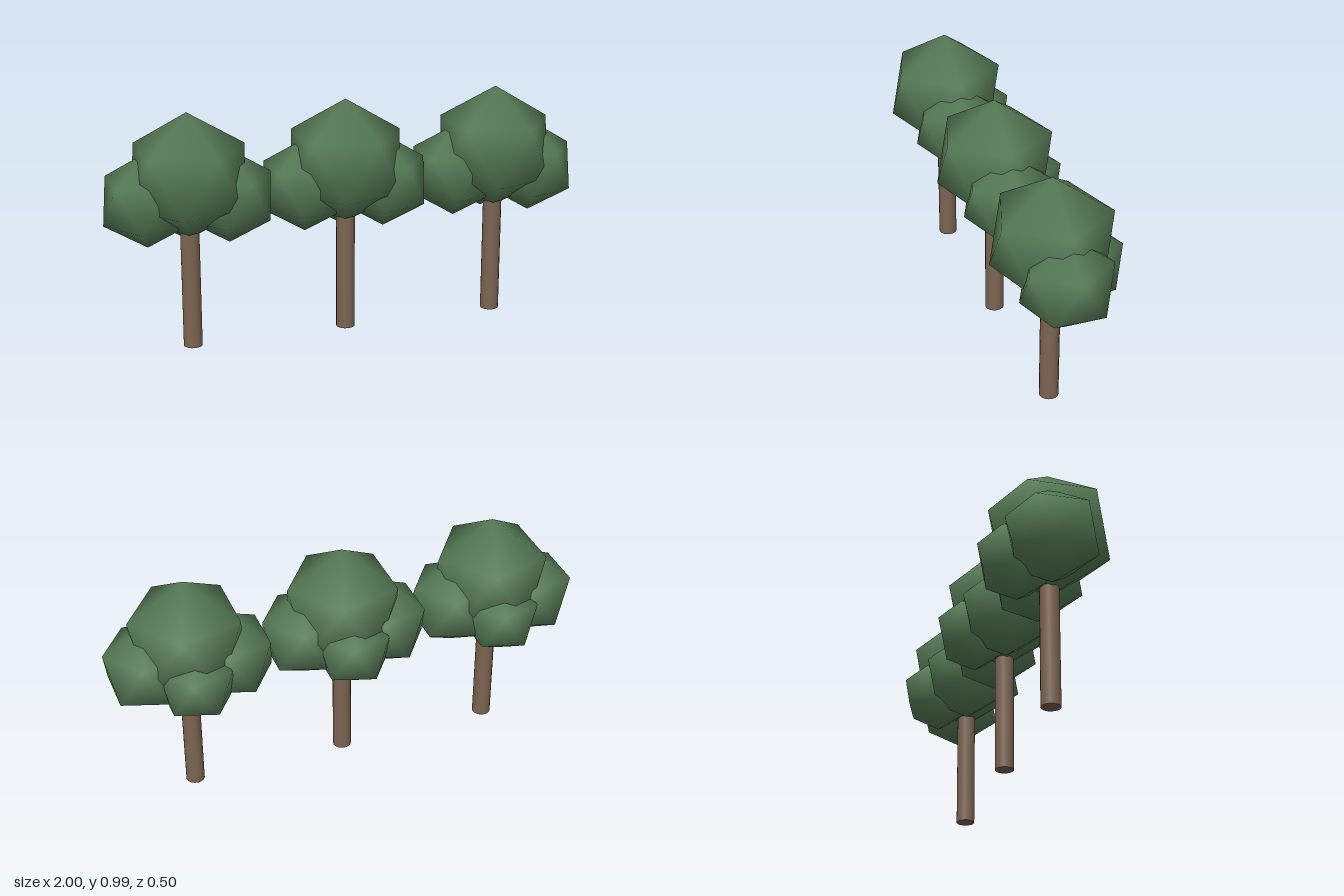
import * as THREE from 'three';

const leafMaterial = new THREE.MeshStandardMaterial({ color: 0x557a55 });
const barkMaterial = new THREE.MeshStandardMaterial({ color: 0x7d6552 });

// Unit icosahedron standing on a vertex, with shared vertices for smooth shading
function makeClumpGeometry() {
  const ringY = 1 / Math.sqrt(5), ringR = 2 * ringY;
  const points = [0, 1, 0, 0, -1, 0];
  const faces = [];
  for (let i = 0; i < 5; i++) {
    const a = (i * 2 * Math.PI) / 5, b = a + Math.PI / 5;
    points.push(ringR * Math.cos(a), ringY, -ringR * Math.sin(a));
    points.push(ringR * Math.cos(b), -ringY, -ringR * Math.sin(b));
    const j = (i + 1) % 5;
    const u = 2 + 2 * i, l = u + 1, u2 = 2 + 2 * j, l2 = u2 + 1;
    faces.push(0, u, u2, u, l, u2, l, l2, u2, 1, l2, l);
  }
  const geometry = new THREE.BufferGeometry();
  geometry.setAttribute('position', new THREE.Float32BufferAttribute(points, 3));
  geometry.setIndex(faces);
  geometry.computeVertexNormals();
  return geometry;
}

// Foliage clumps: name, radius, centre
const clumps = [
  ['mainCrown', 0.262, [0, 0.725, 0.025]],
  ['leftClump', 0.197, [0.165, 0.627, 0.025]],
  ['rightClump', 0.197, [-0.165, 0.627, -0.012]],
  ['backClump', 0.17, [0, 0.597, -0.103]],
];

export function createModel() {
  const model = new THREE.Group();
  model.name = 'treeRow';
  const clumpGeometry = makeClumpGeometry();
  const trunkHeight = 0.62;
  const trunkGeometry = new THREE.CylinderGeometry(0.039, 0.039, trunkHeight, 16);

  // Three identical trees in a row
  for (let i = -1; i <= 1; i++) {
    const tree = new THREE.Group();
    tree.name = 'tree';
    tree.position.x = i * 0.66;

    const trunk = new THREE.Mesh(trunkGeometry, barkMaterial);
    trunk.name = 'trunk';
    trunk.position.set(0, trunkHeight / 2, 0.025);
    tree.add(trunk);

    for (const [name, radius, centre] of clumps) {
      const clump = new THREE.Mesh(clumpGeometry, leafMaterial);
      clump.name = name;
      clump.scale.setScalar(radius);
      clump.position.set(...centre);
      tree.add(clump);
    }
    model.add(tree);
  }
  return model;
}
